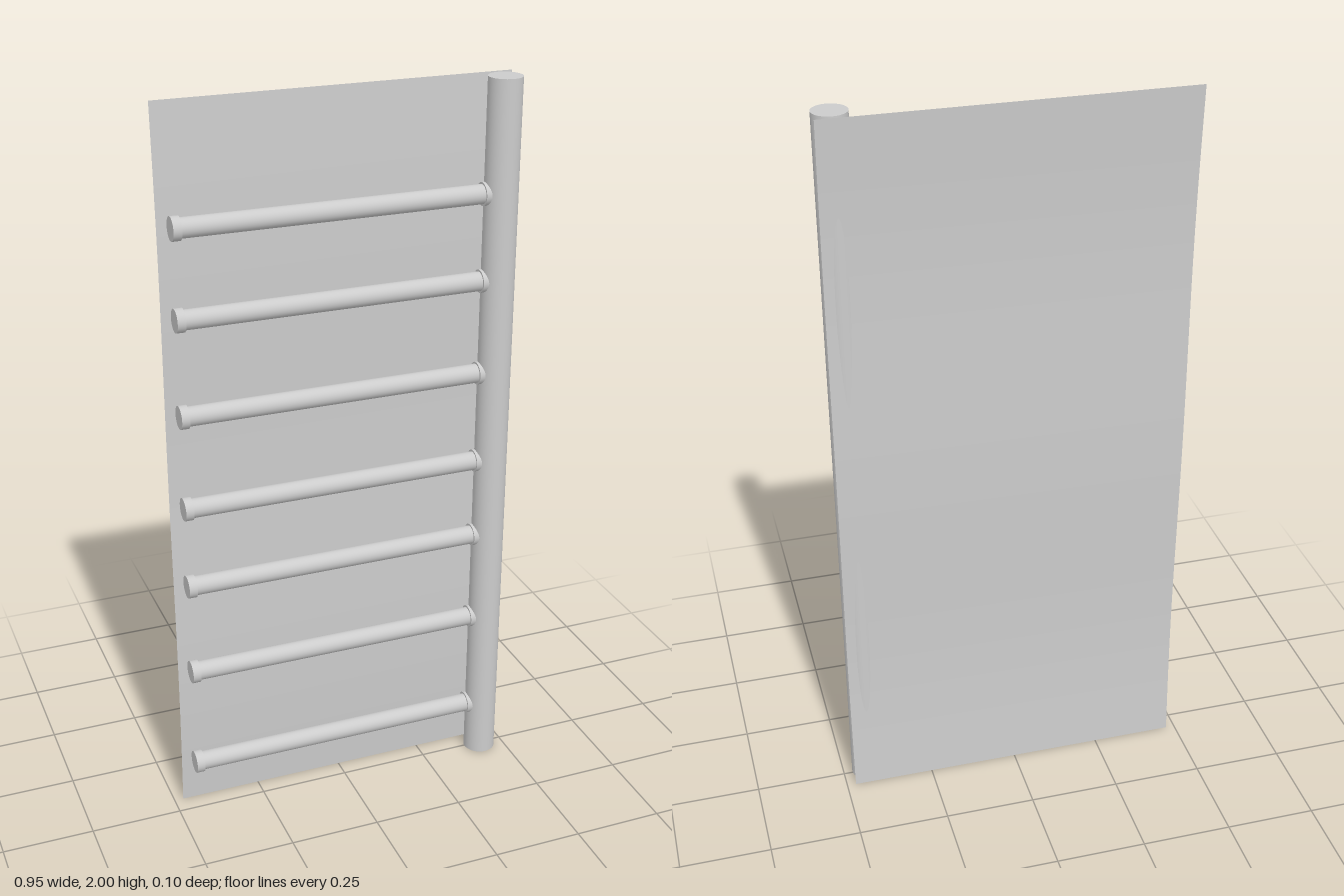
import * as THREE from 'three';

const grey = new THREE.MeshStandardMaterial({ color: 0xcccccc });
const sheetGrey = new THREE.MeshStandardMaterial({ color: 0xcccccc, side: THREE.DoubleSide });

function add(parent, name, geometry, material = grey) {
  const mesh = new THREE.Mesh(geometry, material);
  mesh.name = name;
  parent.add(mesh);
  return mesh;
}

// Lying cylinder from x0 to x1
function rod(parent, name, radius, x0, x1) {
  const geometry = new THREE.CylinderGeometry(radius, radius, x1 - x0, 32).rotateZ(Math.PI / 2);
  add(parent, name, geometry).position.x = (x0 + x1) / 2;
}

export function createModel() {
  const model = new THREE.Group();
  model.name = 'railPanel';

  // Thin back sheet, gently rippled along its height
  const sheet = new THREE.PlaneGeometry(0.95, 2, 1, 48).translate(0, 1, 0);
  const p = sheet.attributes.position;
  for (let i = 0; i < p.count; i++) {
    const t = (p.getY(i) / 2) * Math.PI;
    p.setZ(i, -0.052 + 0.016 * (Math.sin(t) + 0.4 * Math.sin(3 * t)));
  }
  sheet.computeVertexNormals();
  add(model, 'backSheet', sheet, sheetGrey);

  // Upright post at one side
  add(model, 'post', new THREE.CylinderGeometry(0.045, 0.045, 2, 48)).position.set(0.43, 1, 0.005);

  // Horizontal rails with a collar at each end
  for (const y of [0.155, 0.45, 0.715, 0.945, 1.205, 1.465, 1.7]) {
    const rail = new THREE.Group();
    rail.name = 'rail';
    rail.position.y = y;
    rod(rail, 'railTube', 0.026, -0.445, 0.41);
    rod(rail, 'endCap', 0.031, -0.45, -0.428);
    rod(rail, 'postCollar', 0.031, 0.378, 0.41);
    model.add(rail);
  }
  return model;
}
